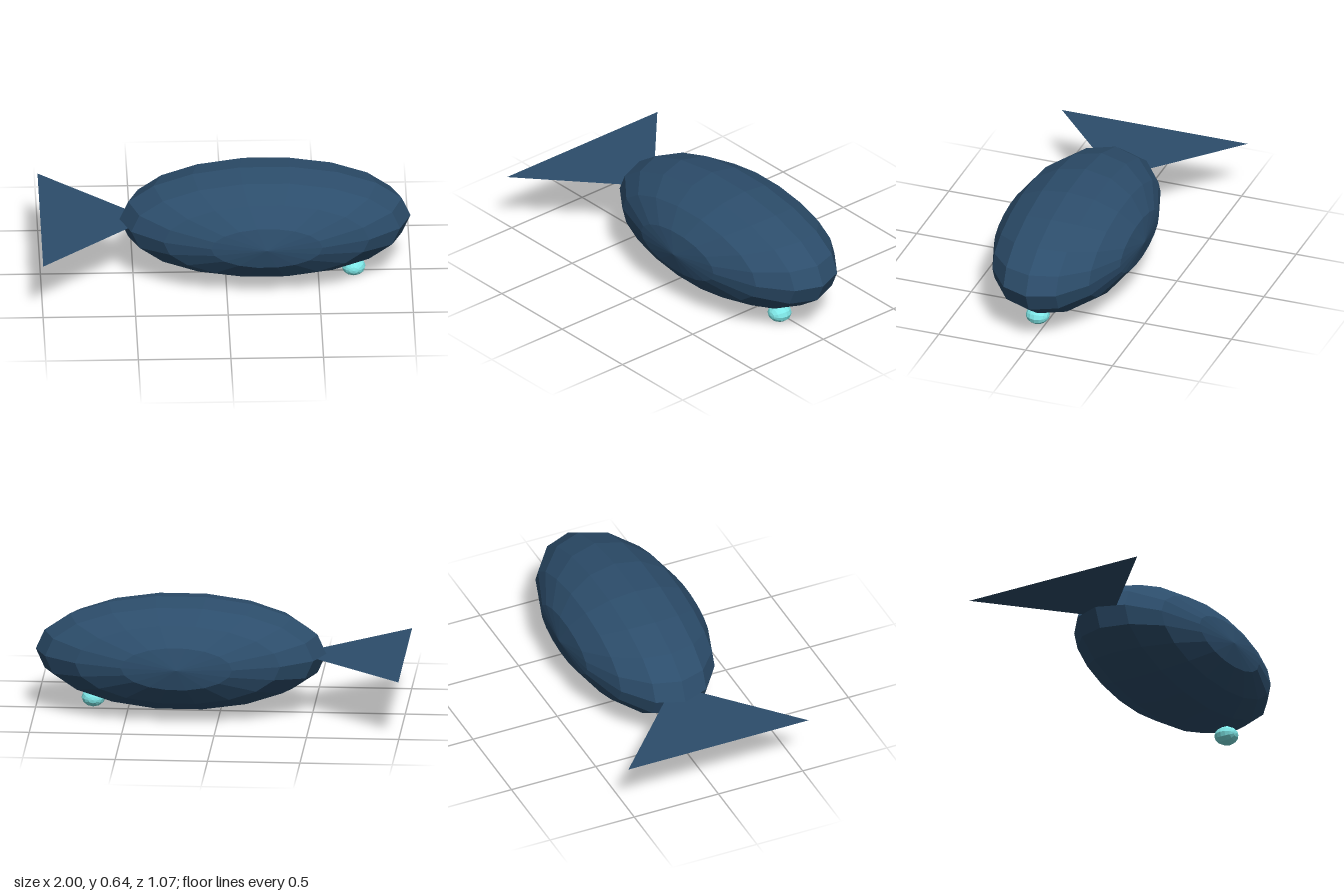
import * as THREE from 'three';

const material = (color, extra = {}) =>
  new THREE.MeshStandardMaterial({ color, flatShading: true, ...extra });

// Faceted ellipsoid with its poles on the z axis
function ellipsoid(name, mat, around, rings, radii, position) {
  const geometry = new THREE.SphereGeometry(1, around, rings);
  geometry.rotateX(Math.PI / 2);
  geometry.scale(...radii);
  const mesh = new THREE.Mesh(geometry, mat);
  mesh.name = name;
  mesh.position.set(...position);
  return mesh;
}

export function createModel() {
  const model = new THREE.Group();
  model.name = 'fish';

  // Plump body, nose towards +x
  model.add(ellipsoid('body', material(0x2c4d6b), 18, 8, [0.786, 0.31, 0.393], [0.213, 0.33, 0]));

  // Small glowing lure under the nose
  model.add(ellipsoid('lure', material(0x7fe8e8), 12, 8, [0.065, 0.05, 0.065], [0.69, 0.05, 0.045]));

  // Flat horizontal tail fin, its tip buried in the body
  const fin = new THREE.Shape([
    new THREE.Vector2(-0.41, 0),
    new THREE.Vector2(-1, 0.535),
    new THREE.Vector2(-1, -0.535),
  ]);
  const finGeometry = new THREE.ShapeGeometry(fin);
  finGeometry.rotateX(-Math.PI / 2);
  const tail = new THREE.Mesh(finGeometry, material(0x2c4d6b, { side: THREE.DoubleSide }));
  tail.name = 'tailFin';
  tail.position.y = 0.33;
  model.add(tail);

  return model;
}
